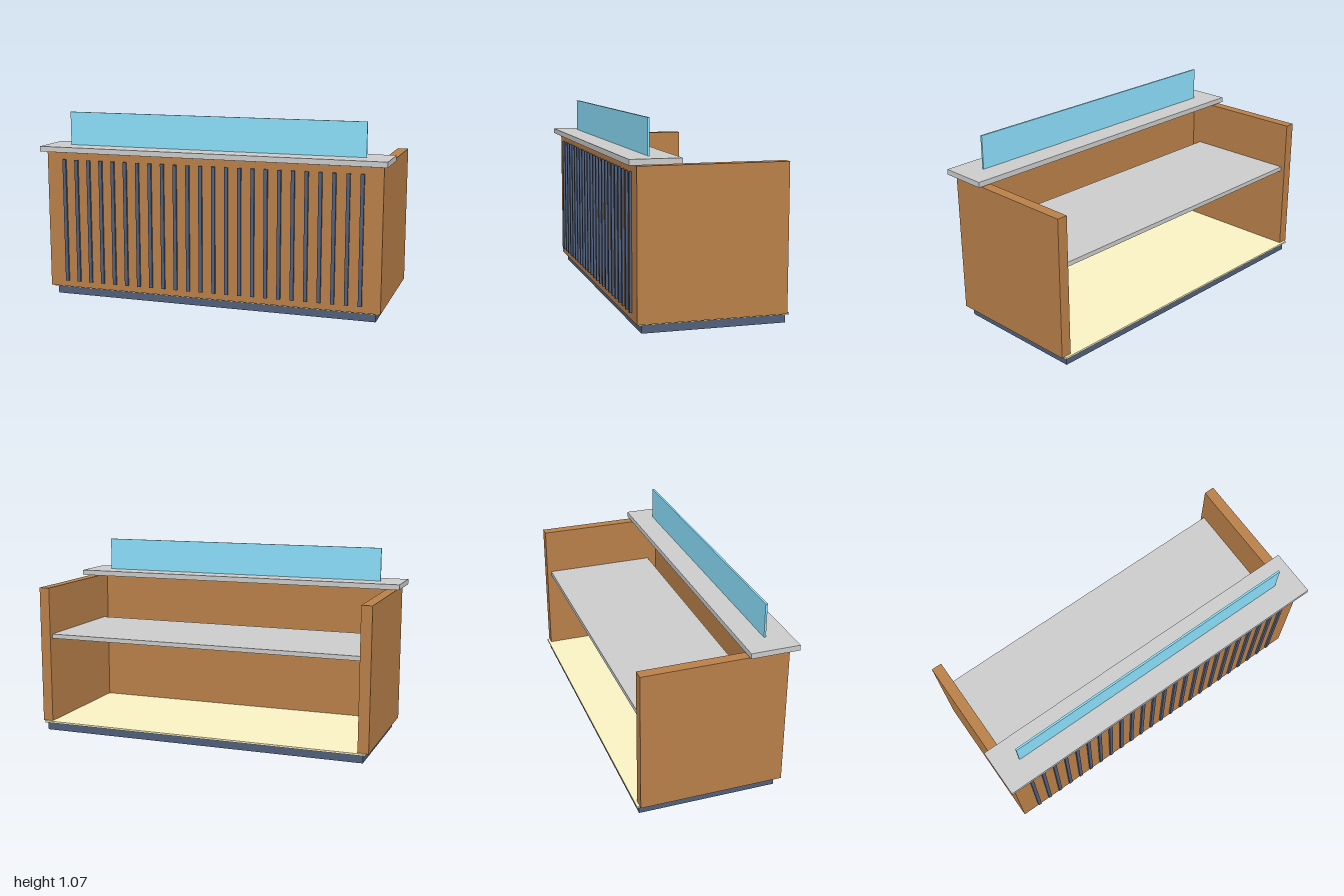
import * as THREE from 'three';

export function createModel() {
  const model = new THREE.Group();
  model.name = 'receptionCounter';

  const paint = (color) => new THREE.MeshStandardMaterial({ color });
  const wood = paint(0xb98049);
  const navy = paint(0x505f7b);
  const cream = paint(0xfaf2c3);
  const grey = paint(0xcccccc);
  const glass = paint(0x8ce0fc);

  // Box given by its [min, max] range on each axis
  function box(name, material, [x0, x1], [y0, y1], [z0, z1], parent = model) {
    const mesh = new THREE.Mesh(new THREE.BoxGeometry(x1 - x0, y1 - y0, z1 - z0), material);
    mesh.position.set((x0 + x1) / 2, (y0 + y1) / 2, (z0 + z1) / 2);
    mesh.name = name;
    parent.add(mesh);
  }

  // Recessed plinth and the thin floor board on it
  box('plinth', navy, [-0.945, 0.945], [0, 0.045], [-0.415, 0.355]);
  box('floorBoard', cream, [-0.96, 0.96], [0.045, 0.055], [-0.43, 0.372]);

  // Carcass: front panel between two side panels, open at the back
  const carcassY = [0.053, 0.843];
  box('frontPanel', wood, [-0.915, 0.915], carcassY, [0.325, 0.385]);
  box('leftPanel', wood, [0.915, 0.975], carcassY, [-0.415, 0.385]);
  box('rightPanel', wood, [-0.975, -0.915], carcassY, [-0.415, 0.385]);

  // Work shelf inside, stopping short of the front panel
  box('workShelf', grey, [-0.915, 0.915], [0.545, 0.57], [-0.39, 0.27]);

  // Upright slats across the front
  const slats = new THREE.Group();
  slats.name = 'frontSlats';
  model.add(slats);
  const count = 24;
  for (let i = 0; i < count; i++) {
    const x = -0.866 + (i * 1.73) / (count - 1);
    box('slat', navy, [x - 0.01, x + 0.01], [0.09, 0.805], [0.375, 0.397], slats);
  }

  // Raised countertop with a glass screen
  box('countertop', grey, [-1, 1], [0.85, 0.88], [0.16, 0.43]);
  box('glassScreen', glass, [-0.865, 0.865], [0.88, 1.07], [0.289, 0.3]);

  return model;
}
